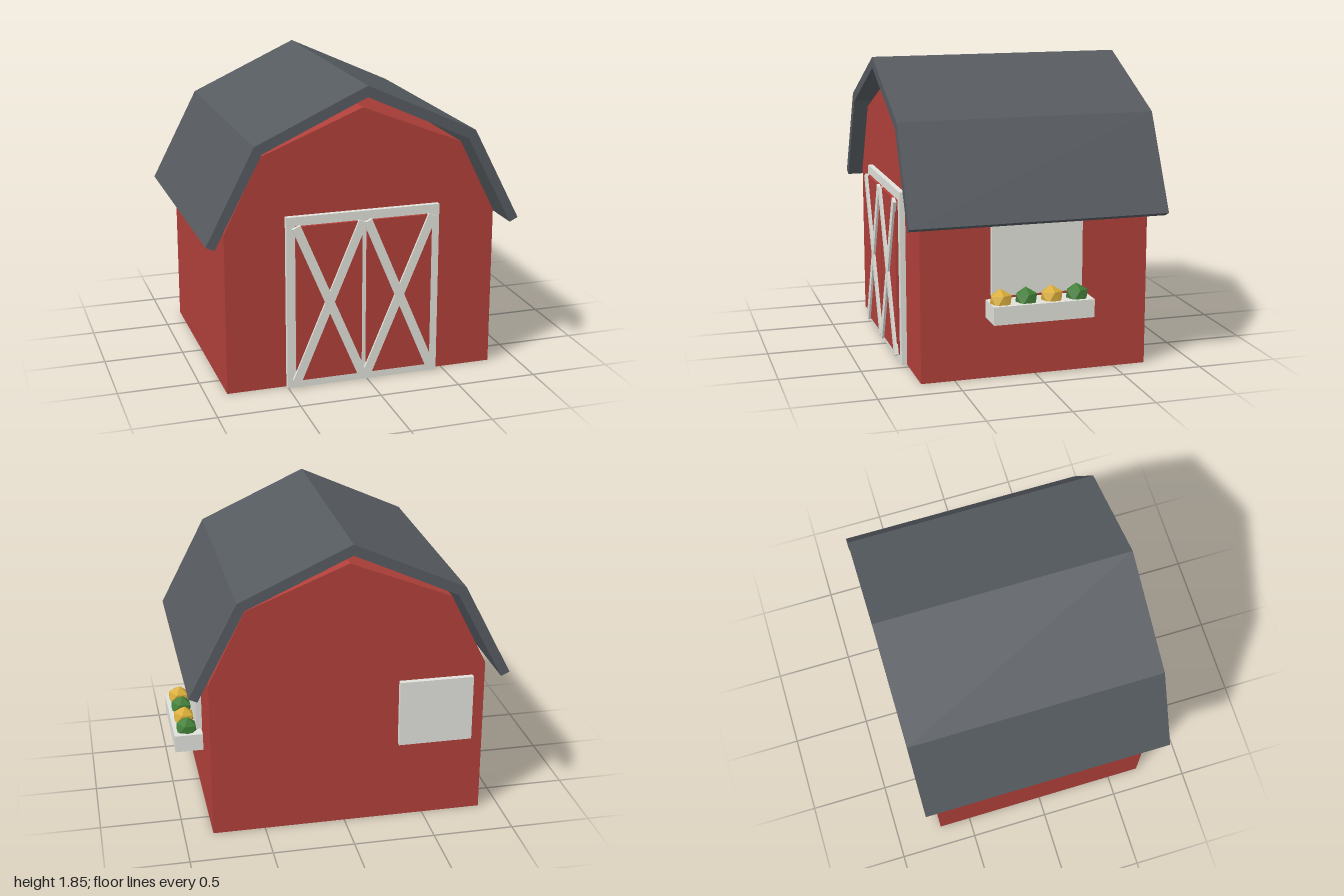
import * as THREE from 'three';

const CX = -0.025; // barn axis; the planter fills the rest of the width

const material = (name, color) => {
  const m = new THREE.MeshStandardMaterial({ color });
  m.name = name;
  return m;
};

export function createModel() {
  const red = material('barn red', 0xb0403a);
  const white = material('trim white', 0xe0e0da);
  const slate = material('roof slate', 0x565b60);
  const yellow = material('flower yellow', 0xd9ad3a);
  const green = material('leaf green', 0x427f38);
  yellow.flatShading = green.flatShading = true;

  const model = new THREE.Group();
  model.name = 'barn';

  const add = (name, geometry, mat, parent = model) => {
    const mesh = new THREE.Mesh(geometry, mat);
    mesh.name = name;
    parent.add(mesh);
    return mesh;
  };
  // Box given by its limits on each axis
  const box = (name, mat, [x0, x1], [y0, y1], [z0, z1], parent = model) => {
    const mesh = add(name, new THREE.BoxGeometry(x1 - x0, y1 - y0, z1 - z0), mat, parent);
    mesh.position.set((x0 + x1) / 2, (y0 + y1) / 2, (z0 + z1) / 2);
    return mesh;
  };
  // Outline extruded along z, centred on z = 0
  const extrude = (points, depth) => {
    const shape = new THREE.Shape(points.map(([x, y]) => new THREE.Vector2(x, y)));
    return new THREE.ExtrudeGeometry(shape, { depth, bevelEnabled: false }).translate(CX, 0, -depth / 2);
  };
  const mirrored = (half) => half.map(([x, y]) => [-x, y]).reverse();

  // Walls with gambrel gables
  const wallHalf = [[0.848, 0], [0.848, 1.0], [0.622, 1.45]];
  add('walls', extrude([...wallHalf, [0, 1.7], ...mirrored(wallHalf)], 1.41), red);

  // Bent roof sheet, floating slightly above the gables
  const outer = [[0.975, 0.965], [0.68, 1.535]];
  const inner = [[0.635, 1.488], [0.923, 0.94]];
  add('roof', extrude([
    ...outer, [0, 1.845], ...mirrored(outer),
    ...mirrored(inner), [0, 1.778], ...inner,
  ], 1.585), slate);

  // Double door: white backing, two red leaves, crossed braces
  const door = new THREE.Group();
  door.name = 'door';
  door.position.x = CX;
  model.add(door);
  box('doorFrame', white, [-0.48, 0.48], [0, 1.08], [0.7, 0.738], door);
  const leafW = 0.412, leafH = 0.975;
  const braceLength = Math.hypot(leafW, leafH);
  for (const side of [-1, 1]) {
    const leaf = new THREE.Group();
    leaf.name = side > 0 ? 'leftDoorLeaf' : 'rightDoorLeaf';
    leaf.position.set(side * 0.221, 0.05 + leafH / 2, 0);
    door.add(leaf);
    box('doorPanel', red, [-leafW / 2, leafW / 2], [-leafH / 2, leafH / 2], [0.73, 0.756], leaf);
    for (const tilt of [-1, 1]) {
      // a hair of depth difference keeps the crossing clean
      const front = tilt > 0 ? 0.771 : 0.77;
      const brace = box('doorBrace', white, [-0.027, 0.027],
        [-braceLength / 2, braceLength / 2], [0.75, front], leaf);
      brace.rotation.z = tilt * Math.atan2(leafW, leafH);
    }
  }

  // Windows on the left side and the back
  box('sideWindow', white, [0.815, 0.86], [0.51, 0.935], [-0.28, 0.28]);
  box('backWindow', white, [-0.795, -0.335], [0.505, 0.925], [-0.74, -0.7]);

  // Planter with alternating blooms and leaves
  box('planter', white, [0.815, 1.0], [0.375, 0.485], [-0.31, 0.31]);
  [0.245, 0.09, -0.068, -0.225].forEach((z, i) => {
    const plant = add(i % 2 ? 'leafyPlant' : 'flower',
      new THREE.IcosahedronGeometry(0.075, 0), i % 2 ? green : yellow);
    plant.position.set(0.917, 0.495, z);
    plant.rotation.z = -0.42;
  });

  return model;
}
